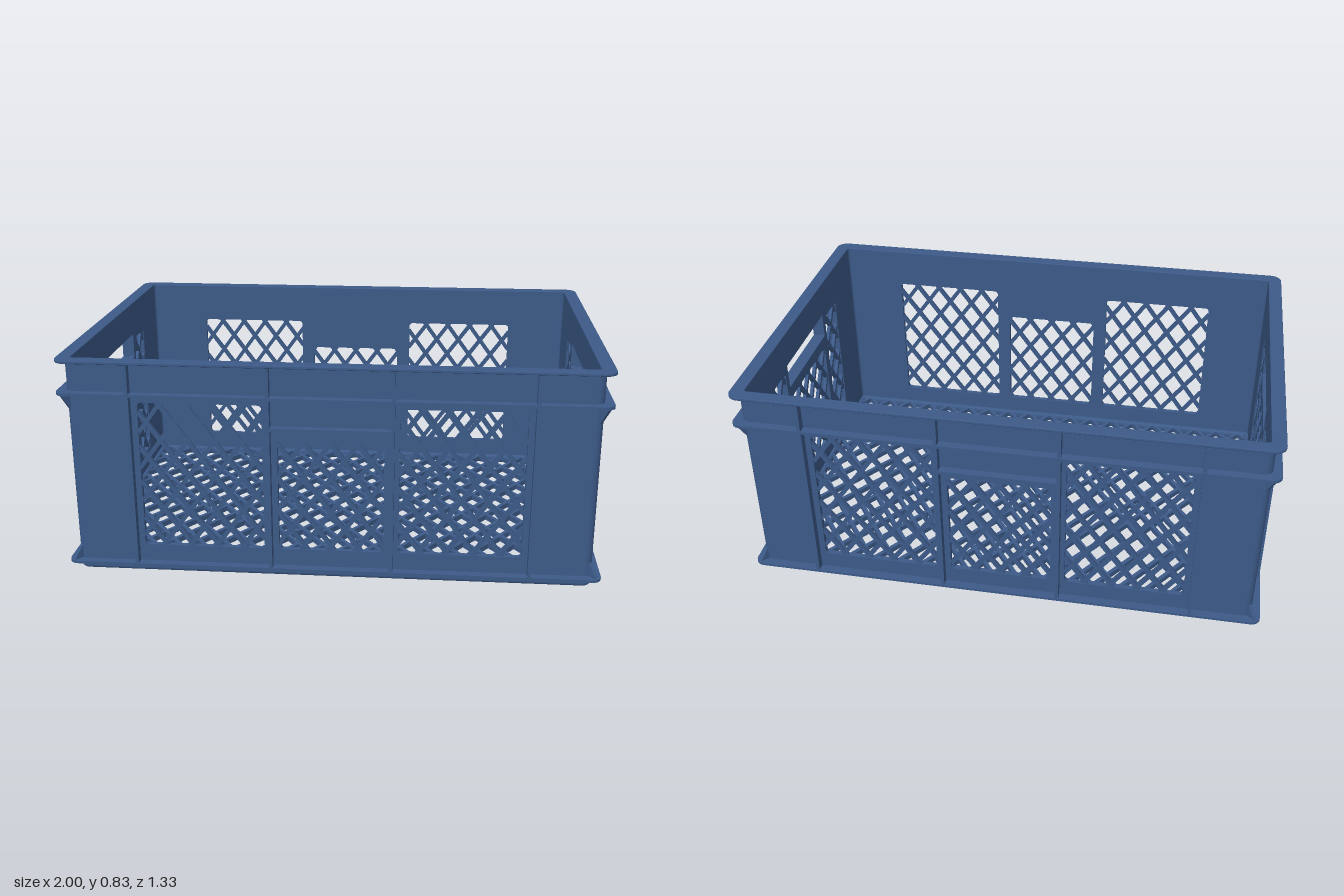
import * as THREE from 'three';
import { mergeGeometries } from 'three/addons/utils/BufferGeometryUtils.js';

const W = 0.967, D = 0.635;          // outer half sizes of the walls
const T = 0.02, R = 0.03;            // wall thickness, corner radius
const LIP = 0.032;                   // how far flanges and ribs stand out
const TOP = 0.835;

const plastic = new THREE.MeshStandardMaterial({ color: 0x3c5a88 });
plastic.name = 'blue plastic';

function mesh(name, geometry) {
  const m = new THREE.Mesh(geometry, plastic);
  m.name = name;
  return m;
}

// Rounded rectangle traced onto a Shape or Path
function roundRect(path, x0, y0, x1, y1, r) {
  path.moveTo(x0 + r, y0);
  path.lineTo(x1 - r, y0);
  path.absarc(x1 - r, y0 + r, r, -Math.PI / 2, 0);
  path.lineTo(x1, y1 - r);
  path.absarc(x1 - r, y1 - r, r, 0, Math.PI / 2);
  path.lineTo(x0 + r, y1);
  path.absarc(x0 + r, y1 - r, r, Math.PI / 2, Math.PI);
  path.lineTo(x0, y0 + r);
  path.absarc(x0 + r, y0 + r, r, Math.PI, Math.PI * 1.5);
  return path;
}

// Horizontal rectangular ring from y0 to y1 with outer corner radius r
function ring(name, outX, outZ, inX, inZ, y0, y1, r, b = 0) {
  const shape = roundRect(new THREE.Shape(), -outX + b, -outZ + b, outX - b, outZ - b, r - b);
  shape.holes.push(roundRect(new THREE.Path(), -inX - b, -inZ - b, inX + b, inZ + b, 0.015));
  const g = new THREE.ExtrudeGeometry(shape, {
    depth: y1 - y0 - 2 * b, bevelEnabled: b > 0, bevelSize: b, bevelThickness: b,
    bevelSegments: 3, curveSegments: 6,
  });
  g.rotateX(-Math.PI / 2).translate(0, y0 + b, 0);
  return mesh(name, g);
}

function box(w, h, d, x, y, z) {
  return new THREE.BoxGeometry(w, h, d).translate(x, y, z);
}

// Crossing diagonal bars clipped to a rectangle in the xy plane
function lattice(x0, y0, x1, y1, depth, px = 0.1, py = 0.137, bar = 0.016) {
  const s = py / px, bars = [], cx = (x0 + x1) / 2, cy = (y0 + y1) / 2;
  const hw = (x1 - x0) / 2, hh = (y1 - y0) / 2;
  const n = Math.ceil((hw + hh / s) / px);
  for (const k of [s, -s]) {
    for (let i = -n; i <= n; i++) {
      const c = (i + 0.5) * px;
      const a = Math.max(-hw, c - hh / s), b = Math.min(hw, c + hh / s);
      if (b - a < 0.008) continue;
      const mid = (a + b) / 2;
      const g = new THREE.BoxGeometry((b - a) * Math.hypot(1, s), bar, depth);
      g.rotateZ(Math.atan(k)).translate(cx + mid, cy + k * (mid - c), 0);
      bars.push(g);
    }
  }
  return mergeGeometries(bars);
}

// Wedge over a window that slopes from the wall out to the flange above
function lintel(x0, x1, y0, y1) {
  const s = new THREE.Shape();
  s.moveTo(0.002, y0).lineTo(-0.002 - LIP * 0.7, y1).lineTo(0.002, y1);
  return new THREE.ExtrudeGeometry(s, { depth: x1 - x0, bevelEnabled: false })
    .rotateY(Math.PI / 2).translate(x0, 0, 0);
}

// One wall facing +z with windows and vertical ribs; short walls have a hand hole
function wall(name, half, windows, ribs, handHole) {
  const group = new THREE.Group();
  group.name = name;
  const shape = new THREE.Shape();
  const e = half - R;
  shape.moveTo(-e, 0.025).lineTo(e, 0.025).lineTo(e, TOP - 0.004).lineTo(-e, TOP - 0.004);
  for (const [x0, y0, x1, y1] of windows)
    shape.holes.push(roundRect(new THREE.Path(), x0, y0, x1, y1, 0.015));
  if (handHole) {
    shape.holes.push(roundRect(new THREE.Path(), -0.215, 0.6, 0.215, 0.702, 0.004));
    const lintels = windows.map(([x0, , x1, y1]) =>
      lintel(x0 - 0.01, x1 + 0.01, y1, y1 > 0.6 ? 0.704 : 0.59));
    group.add(mesh('windowLintels', mergeGeometries(lintels)));
  }
  const panel = new THREE.ExtrudeGeometry(shape, { depth: T, bevelEnabled: false, curveSegments: 4 });
  group.add(mesh('wallPanel', panel.translate(0, 0, -T)));

  const grilles = windows.map(([x0, y0, x1, y1]) =>
    lattice(x0 - 0.003, y0 - 0.003, x1 + 0.003, y1 + 0.003, 0.014).translate(0, 0, -T / 2));
  group.add(mesh('windowLattice', mergeGeometries(grilles)));

  const depth = LIP + 0.003;
  const z = depth / 2 - 0.005;
  const bars = [];
  for (const x of ribs) for (const side of [-1, 1])
    bars.push(box(0.014, TOP - 0.04, depth, side * x, (TOP + 0.035) / 2, z));
  // Ledge above the middle window
  bars.push(box(0.44, 0.012, depth, 0, 0.593, z));
  group.add(mesh('wallRibs', mergeGeometries(bars)));
  return group;
}

// Curved upright at one corner, with tapered gussets under and over the flanges
function corner(sx, sz) {
  const group = new THREE.Group();
  group.name = 'cornerPost';
  const s = new THREE.Shape();
  s.absarc(0, 0, R, 0, Math.PI / 2, false);
  s.absarc(0, 0, R - T, Math.PI / 2, 0, true);
  const g = new THREE.ExtrudeGeometry(s, { depth: TOP - 0.029, bevelEnabled: false, curveSegments: 8 });
  g.rotateX(-Math.PI / 2).translate(0, 0.025, 0);
  group.add(mesh('cornerWall', g));

  const gussets = [[0.703, -0.07], [0.042, 0.06]].map(([y, h]) => {
    const t = new THREE.Shape();
    const inner = [R - 0.005, y], outer = [R + 0.036, y], tip = [R - 0.005, y + h];
    t.moveTo(...inner).lineTo(...outer).lineTo(...tip);
    return new THREE.ExtrudeGeometry(t, { depth: 0.016, bevelEnabled: false })
      .translate(0, 0, -0.008).rotateY(Math.PI / 4);
  });
  group.add(mesh('cornerGussets', mergeGeometries(gussets)));
  group.position.set(sx * (W - R), 0, sz * (D - R));
  // The piece is made for the +x, -z corner and turned to the others
  group.rotation.y = sx > 0 ? (sz > 0 ? -Math.PI / 2 : 0) : (sz > 0 ? Math.PI : Math.PI / 2);
  return group;
}

export function createModel() {
  const crate = new THREE.Group();
  crate.name = 'stackingCrate';

  // Long walls at front and back, short walls with hand holes at the sides
  const longWindows = [[-0.705, 0.11, -0.25, 0.675], [-0.195, 0.11, 0.195, 0.55], [0.25, 0.11, 0.705, 0.675]];
  const sideWindows = [[-0.385, 0.11, -0.24, 0.68], [-0.2, 0.11, 0.2, 0.55], [0.24, 0.11, 0.385, 0.68]];
  for (const s of [1, -1]) {
    const long = wall(s > 0 ? 'frontWall' : 'backWall', W, longWindows, [0.225, 0.735], false);
    long.position.z = s * D;
    long.rotation.y = s > 0 ? 0 : Math.PI;
    const side = wall(s > 0 ? 'leftWall' : 'rightWall', D, sideWindows, [0.222, 0.4], true);
    side.position.x = s * W;
    side.rotation.y = s * Math.PI / 2;
    crate.add(long, side);
    for (const t of [1, -1]) crate.add(corner(s, t));
  }

  // Flanges running round the outside
  const ox = W + LIP + 0.001, oz = D + LIP;
  crate.add(ring('topRim', ox, oz, W - T, D - T, TOP - 0.012, TOP, 0.045, 0.003));
  crate.add(ring('middleFlange', ox, oz, W - 0.006, D - 0.006, 0.702, 0.713, 0.035));
  crate.add(ring('bottomFlange', ox, oz, W - 0.006, D - 0.006, 0.034, 0.044, 0.035));

  // Foot frame and open floor
  crate.add(ring('footFrame', W, D, 0.93, 0.6, 0, 0.036, 0.035, 0.012));
  const floor = lattice(-0.935, -0.605, 0.935, 0.605, 0.022);
  crate.add(mesh('floorLattice', floor.rotateX(-Math.PI / 2).translate(0, 0.019, 0)));
  return crate;
}
